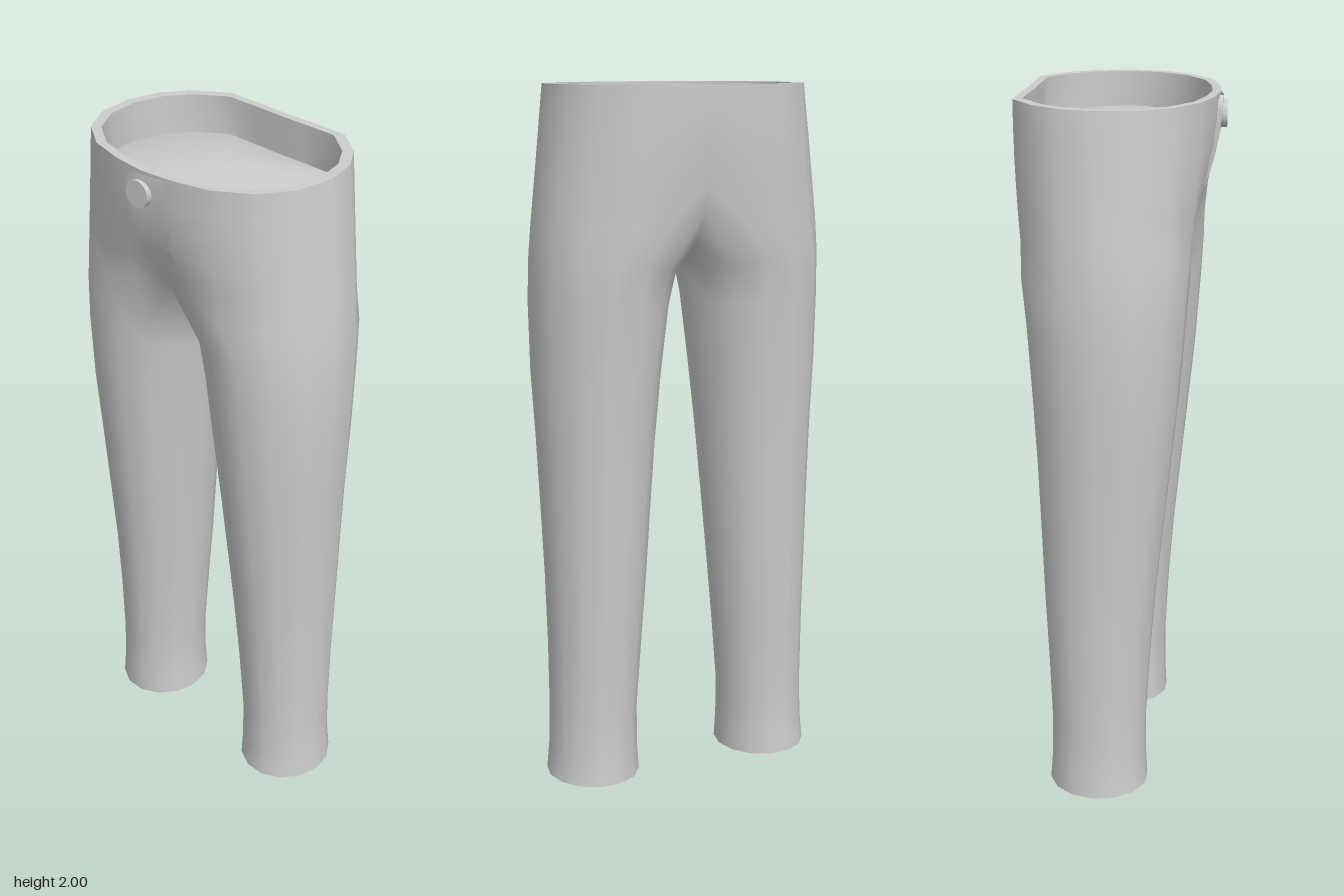
import * as THREE from 'three';
import { mergeVertices, mergeGeometries } from 'three/addons/utils/BufferGeometryUtils.js';

const lerp = THREE.MathUtils.lerp;

// Half outlines [x, y, z] running from the front centre round the hip to the back centre.
const waist = [[0, .26], [.1, .25], [.21, .222], [.305, .158], [.362, .065], [.375, -.04],
  [.352, -.135], [.3, -.21], [.21, -.277], [.1, -.277], [0, -.275]].map(([x, z]) => [x, 2, z]);
const thigh = [[0, 1.65, .17], [.1, 1.64, .195], [.22, 1.62, .202], [.335, 1.62, .16], [.4, 1.62, .07],
  [.42, 1.62, -.03], [.4, 1.62, -.13], [.335, 1.62, -.21], [.22, 1.62, -.262], [.1, 1.64, -.255], [0, 1.65, -.225]];
// Crotch seam from back to front
const seam = [[0, 1.56, -.16], [0, 1.52, -.03], [0, 1.56, .1]];

// Leg rings: height, inner x, outer x, back z, front z, dip of the inner side
const legRings = [
  [1.53, .022, .428, -.254, .198, .05], [1.4, .042, .433, -.24, .19, .01], [1.2, .065, .43, -.226, .175, 0],
  [1, .085, .42, -.215, .155, 0], [.8, .101, .413, -.207, .135, 0], [.6, .116, .407, -.2, .115, 0],
  [.4, .132, .403, -.19, .1, 0], [.2, .147, .402, -.182, .09, 0], [.08, .147, .405, -.184, .091, 0],
  [0, .142, .413, -.19, .095, 0],
];

function legRing([y, inner, outer, back, front, dip], scale = 1) {
  const cx = (inner + outer) / 2, rx = (outer - inner) / 2 * scale;
  const cz = (front + back) / 2, rz = (front - back) / 2 * 1.02 * scale;
  return Array.from({ length: 14 }, (_, i) => {
    const a = (5 - i) * Math.PI * 2 / 14;
    return [cx + rx * Math.cos(a), y - dip * Math.max(0, -Math.cos(a)), cz + rz * Math.sin(a)];
  });
}

const torsoPoint = (j, t) => [lerp(waist[j][0], thigh[j][0], t), lerp(2, thigh[j][1], t),
  lerp(waist[j][2], thigh[j][2], t * t)];
const torsoRow = (t) => waist.map((_, j) => torsoPoint(j, t));

// Height of the front panel near the centre line
function frontZ(x, y) {
  const t = (2 - y) / .355;
  return lerp(torsoPoint(0, t)[2], torsoPoint(1, t)[2], Math.abs(x) / .1);
}

// Skin between successive rows of points
function loft(rows, closed = false) {
  const n = rows[0].length, index = [];
  for (let i = 0; i < rows.length - 1; i++) {
    for (let j = 0; j < (closed ? n : n - 1); j++) {
      const k = (j + 1) % n;
      const a = i * n + j, b = i * n + k, c = a + n, d = b + n;
      index.push(a, c, b, b, c, d);
    }
  }
  const geo = new THREE.BufferGeometry();
  geo.setAttribute('position', new THREE.Float32BufferAttribute(rows.flat(2), 3));
  geo.setIndex(index);
  return geo;
}

function mirrored(geo) {
  const copy = geo.clone().scale(-1, 1, 1), idx = copy.index.array;
  for (let i = 0; i < idx.length; i += 3) [idx[i], idx[i + 1]] = [idx[i + 1], idx[i]];
  return copy;
}

// Join halves with their mirror images and smooth across the joins
function symmetric(...halves) {
  const geo = mergeVertices(mergeGeometries(halves.flatMap((h) => [h, mirrored(h)])), 1e-4);
  geo.computeVertexNormals();
  return geo;
}

export function createModel() {
  const group = new THREE.Group();
  const cloth = new THREE.MeshStandardMaterial({ color: 0xcccccc, side: THREE.DoubleSide });
  cloth.name = 'grey cloth';
  const add = (name, geo) => {
    const mesh = new THREE.Mesh(geo, cloth);
    mesh.name = name;
    group.add(mesh);
    return mesh;
  };

  // Outer cloth: hips and both legs as one smooth skin
  const torso = loft([0, .2, .4, .6, .8, 1].map(torsoRow));
  const leg = loft([[...thigh, ...seam], ...legRings.map((r) => legRing(r))], true);
  add('trousers', symmetric(torso, leg));

  // Waistband: top rim, inner wall and the domed lining below it
  const inset = (s, y) => waist.map(([x, , z]) => [x * .92 * s, y, (z + .01) * .91 * s - .01]);
  add('waistRim', symmetric(loft([inset(1, 2), waist])));
  add('waistInside', symmetric(loft([inset(1, 1.89), inset(1, 2)])));
  add('lining', symmetric(loft([0, .3, .6, .85, 1].map((s) => inset(s, 1.89 + .05 * (1 - s * s))))));

  // Leg insides and cuff rims
  const inside = legRings.map((r) => legRing(r, .91));
  add('legInside', symmetric(loft([...inside].reverse(), true)));
  const last = legRings[legRings.length - 1];
  add('cuffRims', symmetric(loft([legRing(last), legRing(last, .91)], true)));

  // Fly: overlapping flap with a raised edge, fading into the front
  const flyEdge = [[-.018, 1.992, .01], [-.04, 1.982, .012], [-.05, 1.955, .012], [-.051, 1.9, .012],
    [-.049, 1.84, .01], [-.042, 1.78, .007], [-.034, 1.72, .002]];
  const at = (x, y, lift) => [x, y, frontZ(x, y) + lift];
  const face = loft(flyEdge.map(([x, y, l]) => [at(x, y, l), at(0, y, l * .6), at(.08, y, -.001)]));
  const edge = loft(flyEdge.map(([x, y, l]) => [at(x, y, -.004), at(x, y, l)]));
  for (const [name, geo] of [['flyFlap', face], ['flyEdge', edge]]) {
    geo.computeVertexNormals();
    add(name, geo);
  }

  // Waist button
  const button = add('button', new THREE.CylinderGeometry(.037, .037, .018, 24));
  button.rotation.set(Math.PI / 2, 0, -.08);
  button.position.set(0, 1.94, .268);

  return group;
}
